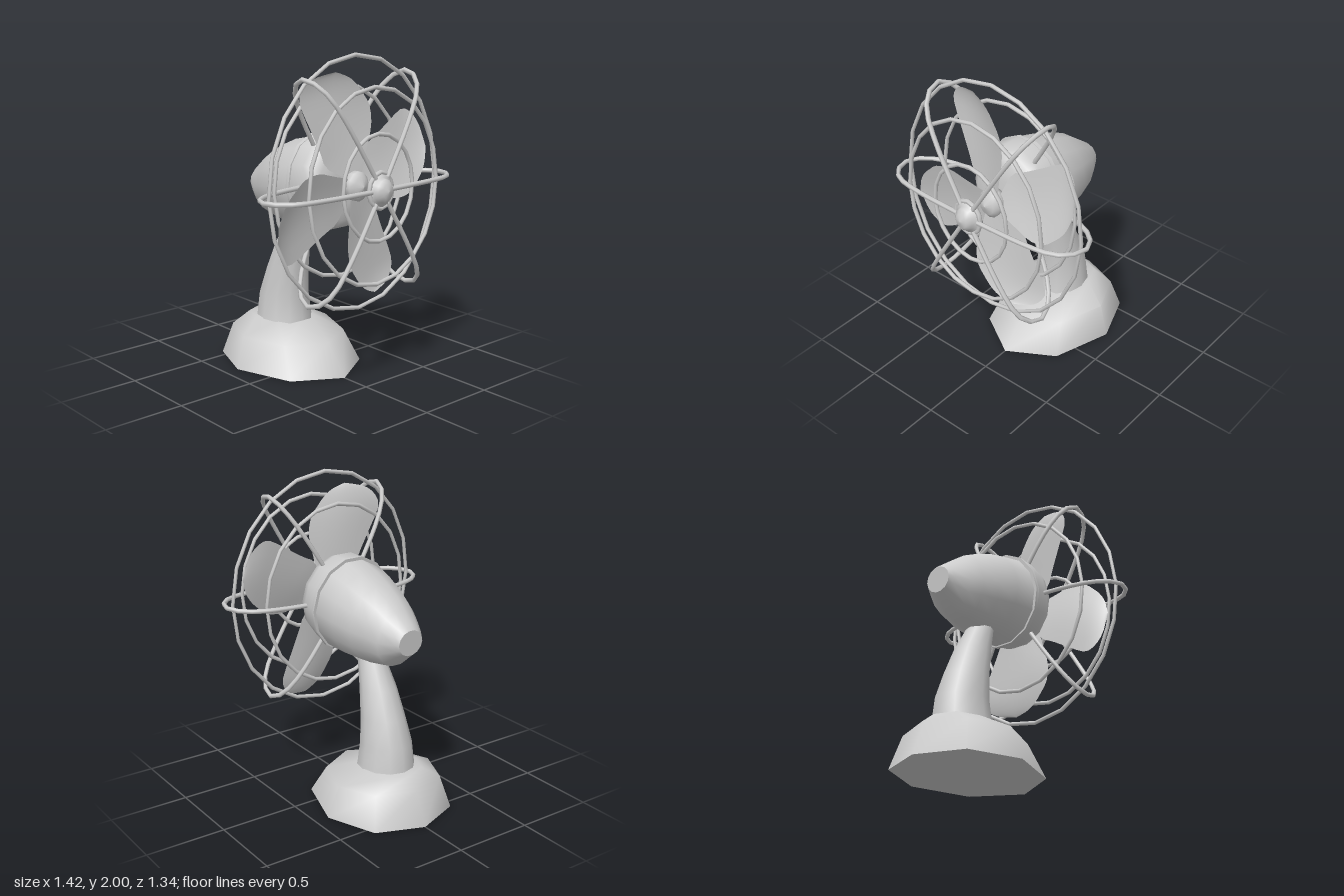
import * as THREE from 'three';
import { toCreasedNormals } from 'three/addons/utils/BufferGeometryUtils.js';

const grey = new THREE.MeshStandardMaterial({ color: 0xcccccc });
const thin = new THREE.MeshStandardMaterial({ color: 0xcccccc, side: THREE.DoubleSide });

function add(parent, name, geometry, material = grey) {
  const mesh = new THREE.Mesh(geometry, material);
  mesh.name = name;
  parent.add(mesh);
  return mesh;
}

// Skin a list of closed rings (arrays of [x, y, z]) and cap both ends
function loft(rings, crease) {
  const n = rings[0].length, last = (rings.length - 1) * n;
  const points = rings.flat();
  const index = [];
  for (let r = 0; r < rings.length - 1; r++) {
    for (let i = 0; i < n; i++) {
      const a = r * n + i, b = r * n + (i + 1) % n;
      index.push(a, a + n, b, b, a + n, b + n);
    }
  }
  const mid = ring => [0, 1, 2].map(k => ring.reduce((s, p) => s + p[k], 0) / n);
  const c0 = points.push(mid(rings[0])) - 1;
  const c1 = points.push(mid(rings[rings.length - 1])) - 1;
  for (let i = 0; i < n; i++) {
    const j = (i + 1) % n;
    index.push(c0, i, j, c1, last + j, last + i);
  }
  const g = new THREE.BufferGeometry();
  g.setAttribute('position', new THREE.Float32BufferAttribute(points.flat(), 3));
  g.setIndex(index);
  return toCreasedNormals(g, crease);
}

const circle = (n, fn) => Array.from({ length: n }, (_, i) => {
  const a = (i / n) * Math.PI * 2;
  return fn(Math.cos(a), Math.sin(a));
});

// Octagonal base, widest behind its middle: half width, front z, back z, front y, back y
function makeBase() {
  const rows = [
    [0.41, 0.31, -0.67, 0, 0],
    [0.345, 0.16, -0.585, 0.185, 0.205],
    [0.185, -0.1, -0.51, 0.278, 0.275],
  ];
  return loft(rows.map(([w, zf, zb, yf, yb]) => circle(8, (c, s) => {
    const t = (s + 1) / 2 - 0.06 * c * c;
    return [c * w, yb + (yf - yb) * t, zb + (zf - zb) * t];
  })), 1.0);
}

// Curved neck: y, centre z, half width, half depth
function makeNeck() {
  const rows = [
    [0.24, -0.27, 0.18, 0.195], [0.29, -0.27, 0.17, 0.185], [0.42, -0.27, 0.155, 0.17],
    [0.58, -0.235, 0.133, 0.145], [0.75, -0.185, 0.112, 0.118],
    [0.91, -0.12, 0.085, 0.09], [1.0, -0.08, 0.075, 0.08],
  ];
  return loft(rows.map(([y, z, rx, rz]) => circle(12, (c, s) => [c * rx, y, z + s * rz])), 0.9);
}

// Motor sections lean back slightly: z, centre y, half width, half height
function motorSection([z, y, rx, ry]) {
  return circle(14, (c, s) => [c * rx, y - s * ry, z + 0.08 * s * ry]);
}

// Blade grid stretched between a leading and a trailing edge
function makeBlade() {
  const edge = pts => new THREE.SplineCurve(pts.map(p => new THREE.Vector2(...p)));
  const lead = edge([[-0.05, 0.05], [-0.2, 0.13], [-0.25, 0.24], [-0.315, 0.38],
    [-0.38, 0.53], [-0.35, 0.61], [-0.27, 0.66], [-0.13, 0.68]]);
  const trail = edge([[0.05, 0.05], [0.09, 0.2], [0.13, 0.34], [0.12, 0.46],
    [0.07, 0.54], [0.02, 0.6], [-0.04, 0.645], [-0.13, 0.68]]);
  const g = new THREE.PlaneGeometry(1, 1, 5, 16);
  const pos = g.attributes.position;
  for (let i = 0; i < pos.count; i++) {
    const u = pos.getX(i) + 0.5, v = pos.getY(i) + 0.5;
    const p = lead.getPoint(v).lerp(trail.getPoint(v), u);
    const camber = 0.02 * Math.sin(Math.PI * u) * Math.sin(Math.PI * v);
    pos.setXYZ(i, p.x, p.y, 0.22 * (p.x + 0.18 * v) - camber - 0.015);
  }
  g.computeVertexNormals();
  return g;
}

function lathe(profile, segments) {
  const pts = profile.map(p => new THREE.Vector2(...p));
  return new THREE.LatheGeometry(pts, segments).rotateX(Math.PI / 2);
}

export function createModel() {
  const model = new THREE.Group();
  model.name = 'deskFan';
  add(model, 'base', makeBase());
  add(model, 'neck', makeNeck());

  // Motor housing, its seam band and the front cover
  add(model, 'motorHousing', loft([
    [-0.5, 1.12, 0.085, 0.08], [-0.47, 1.12, 0.105, 0.105], [-0.38, 1.115, 0.155, 0.175],
    [-0.3, 1.137, 0.187, 0.212], [-0.2, 1.153, 0.223, 0.245], [-0.06, 1.18, 0.255, 0.275],
    [0.1, 1.2, 0.265, 0.292],
  ].map(motorSection), 0.7));
  add(model, 'motorBand', loft([
    [0.09, 1.205, 0.283, 0.305], [0.115, 1.205, 0.283, 0.305],
  ].map(motorSection), 0.7));
  add(model, 'motorCover', loft([
    [0.1, 1.21, 0.272, 0.298], [0.21, 1.22, 0.268, 0.29], [0.265, 1.22, 0.25, 0.268],
    [0.3, 1.217, 0.2, 0.217], [0.31, 1.215, 0.1, 0.11],
  ].map(motorSection), 0.8));

  // Everything around the fan axis is tilted and slightly narrowed
  const head = new THREE.Group();
  head.name = 'fanHead';
  head.position.set(0, 1.223, 0.4);
  head.rotation.x = -0.033;
  head.scale.x = 0.88;
  model.add(head);

  // Rotor
  const rotor = new THREE.Group();
  rotor.name = 'rotor';
  head.add(rotor);
  add(rotor, 'shaft', new THREE.CylinderGeometry(0.03, 0.03, 0.2, 10).rotateX(Math.PI / 2)).position.z = -0.08;
  add(rotor, 'rotorHub', lathe([[0, -0.07], [0.07, -0.06], [0.09, -0.02],
    [0.09, 0.02], [0.06, 0.045], [0, 0.065]], 12));
  const blade = makeBlade();
  for (let i = 0; i < 4; i++) add(rotor, 'blade', blade, thin).rotation.z = 0.05 + i * Math.PI / 2;

  // Guard rings: radius, z
  const guard = new THREE.Group();
  guard.name = 'guard';
  head.add(guard);
  for (const [r, z] of [[0.75, 0.003], [0.575, 0.16], [0.575, -0.14], [0.312, 0.185]]) {
    const ring = add(guard, 'guardRing', new THREE.TorusGeometry(r, 0.013, 6, 20));
    ring.position.set(0, 0.012, z);
    ring.rotation.z = Math.PI / 2;
  }

  // Six curved spokes from the front boss round to the motor cover
  const path = new THREE.CatmullRomCurve3([
    [0.09, 0.21], [0.45, 0.2], [0.65, 0.172], [0.73, 0.13], [0.775, 0.075], [0.793, 0],
    [0.77, -0.055], [0.71, -0.112], [0.6, -0.16], [0.45, -0.19], [0.25, -0.21],
  ].map(([r, z]) => new THREE.Vector3(r, 0, z)));
  const spoke = new THREE.TubeGeometry(path, 16, 0.015, 6);
  for (const degrees of [0, 55, 125, 180, 235, 305]) {
    add(guard, 'guardSpoke', spoke, thin).rotation.z = THREE.MathUtils.degToRad(degrees);
  }

  // Front boss
  add(guard, 'bossRing', new THREE.TorusGeometry(0.105, 0.015, 6, 12)).position.z = 0.2;
  add(guard, 'bossCap', lathe([[0, 0.185], [0.1, 0.19], [0.1, 0.21], [0.076, 0.215],
    [0.07, 0.24], [0.045, 0.262], [0, 0.272]], 12));
  return model;
}
